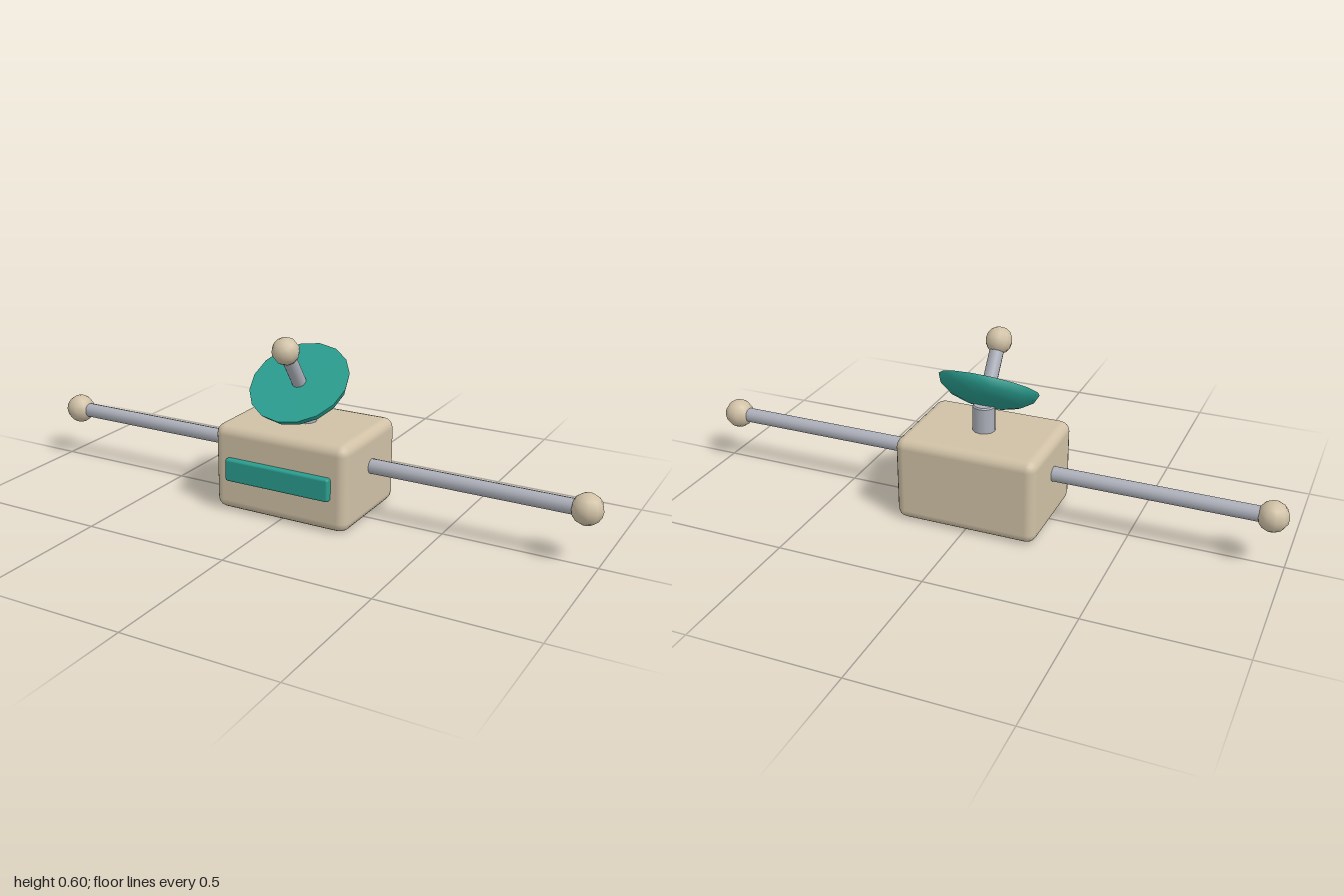
import * as THREE from 'three';
import { RoundedBoxGeometry } from 'three/addons/geometries/RoundedBoxGeometry.js';

const material = (name, color) => {
  const m = new THREE.MeshStandardMaterial({ color });
  m.name = name;
  return m;
};

export function createModel() {
  const tan = material('tan', 0xd0c1a6);
  const grey = material('grey', 0xadb0ba);
  const teal = material('teal', 0x2a9d8f);

  const model = new THREE.Group();
  model.name = 'satellite';
  const add = (parent, name, geometry, mat, x, y, z) => {
    const mesh = new THREE.Mesh(geometry, mat);
    mesh.name = name;
    mesh.position.set(x, y, z);
    parent.add(mesh);
    return mesh;
  };

  // Body and front panel
  add(model, 'body', new RoundedBoxGeometry(0.486, 0.292, 0.36, 2, 0.034), tan, 0, 0.146, -0.01);
  add(model, 'frontPanel', new RoundedBoxGeometry(0.38, 0.077, 0.04, 2, 0.008), teal, 0, 0.148, 0.17);

  // Side arms with ball tips
  for (const [side, s] of [['left', 1], ['right', -1]]) {
    const arm = add(model, side + 'Arm', new THREE.CylinderGeometry(0.025, 0.025, 0.74, 12), grey, s * 0.58, 0.177, -0.01);
    arm.rotation.z = Math.PI / 2;
    add(model, side + 'ArmTip', new THREE.SphereGeometry(0.05, 10, 8), tan, s * 0.95, 0.177, -0.01);
  }

  // Post under the dish, with a small bevel at its top
  add(model, 'post', new THREE.CylinderGeometry(0.038, 0.038, 0.1, 12), grey, 0, 0.327, -0.01);
  add(model, 'postBevel', new THREE.CylinderGeometry(0.034, 0.038, 0.005, 12), grey, 0, 0.3795, -0.01);

  // Dish assembly, tilted towards the front
  const dish = new THREE.Group();
  dish.name = 'dishAssembly';
  dish.position.set(0, 0.435, 0.033);
  dish.rotation.x = 0.6;
  model.add(dish);

  const bowl = new THREE.SphereGeometry(0.168, 16, 4, 0, Math.PI * 2, Math.PI / 2, Math.PI / 2);
  bowl.scale(1, 0.45, 1);
  add(dish, 'dishBowl', bowl, teal, 0, 0, 0);
  // SphereGeometry starts at -x and CircleGeometry at +x, so the rims line up
  const face = new THREE.CircleGeometry(0.168, 16).rotateX(-Math.PI / 2);
  add(dish, 'dishFace', face, teal, 0, 0, 0);
  add(dish, 'feedRod', new THREE.CylinderGeometry(0.024, 0.024, 0.148, 12), grey, 0, 0.073, 0);
  add(dish, 'feedBall', new THREE.SphereGeometry(0.045, 10, 8), tan, 0, 0.148, 0);

  return model;
}
